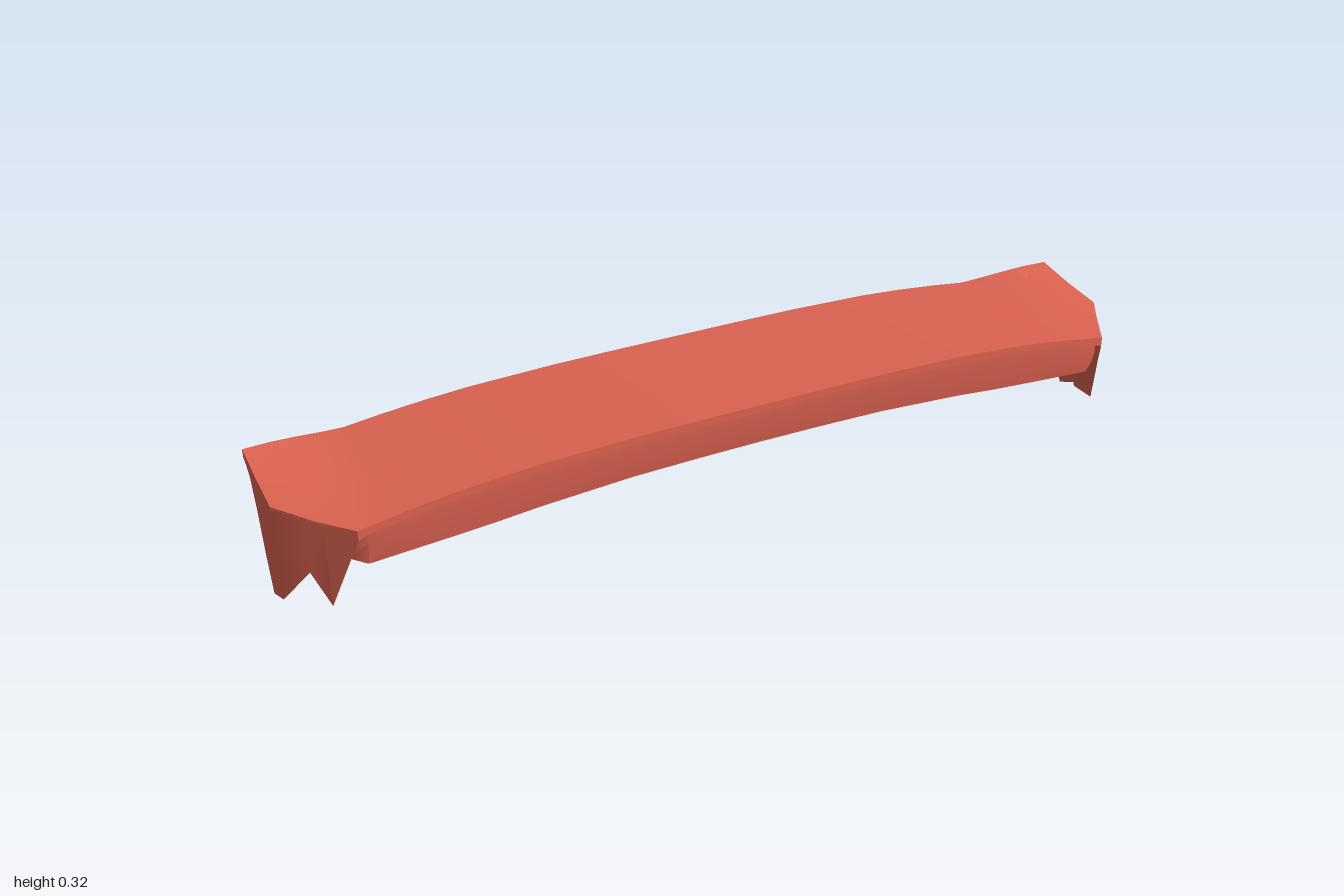
import * as THREE from 'three';
import { toCreasedNormals } from 'three/addons/utils/BufferGeometryUtils.js';

const material = new THREE.MeshStandardMaterial({ color: 0xdd6351, side: THREE.DoubleSide });

// Skin a list of closed rings of [x, y, z] points and cap both ends
function loft(name, rings) {
  const n = rings[0].length, index = [];
  for (let i = 0; i < rings.length - 1; i++) {
    for (let j = 0; j < n; j++) {
      const a = i * n + j, b = i * n + (j + 1) % n;
      index.push(a, b, a + n, b, b + n, a + n);
    }
  }
  const ends = [rings[0], rings[rings.length - 1]];
  ends.forEach((ring, e) => {
    const base = e * (rings.length - 1) * n;
    const flat = ring.map(p => new THREE.Vector2(p[2], p[1]));
    for (const [a, b, c] of THREE.ShapeUtils.triangulateShape(flat, [])) {
      if (e) index.push(base + a, base + b, base + c);
      else index.push(base + a, base + c, base + b);
    }
  });
  const geometry = new THREE.BufferGeometry();
  geometry.setAttribute('position', new THREE.Float32BufferAttribute(rings.flat(2), 3));
  geometry.setIndex(index);
  const mesh = new THREE.Mesh(toCreasedNormals(geometry, 0.6), material);
  mesh.name = name;
  return mesh;
}

// Extend stations given for x >= 0 to the mirrored side
const mirror = half => [...half.slice(1).reverse().map(([x, ...rest]) => [-x, ...rest]), ...half];

export function createModel() {
  const group = new THREE.Group();
  group.name = 'canopy';

  // Roof slab: x, front z, back z, front y, back y
  const roof = mirror([
    [0, 0.21, -0.21, 0.318, 0.291], [0.15, 0.21, -0.21, 0.318, 0.291],
    [0.3, 0.21, -0.21, 0.317, 0.29], [0.5, 0.21, -0.21, 0.311, 0.284],
    [0.6, 0.21, -0.21, 0.304, 0.277], [0.7, 0.21, -0.21, 0.295, 0.267],
    [0.78, 0.21, -0.21, 0.284, 0.257], [0.83, 0.21, -0.203, 0.275, 0.262],
    [0.88, 0.21, -0.19, 0.267, 0.272], [0.94, 0.12, -0.177, 0.257, 0.281],
    [1, 0.03, -0.17, 0.256, 0.283],
  ]);
  const t = 0.016;
  group.add(loft('roof', roof.map(([x, zf, zb, yf, yb]) => {
    const zm = (zf + zb) / 2, ym = (yf + yb) / 2 - (Math.abs(x) > 0.85 ? 0.003 : 0);
    return [[x, yf, zf], [x, ym, zm], [x, yb, zb],
      [x, yb - t, zb], [x, ym - t, zm], [x, yf - t, zf]];
  })));

  // Body under the roof, from the front fascia to the curved rear underside:
  // x, roof front y, roof back y, bottom y, front z
  const body = mirror([
    [0, 0.318, 0.291, 0.212, 0.203], [0.15, 0.318, 0.291, 0.211, 0.203],
    [0.3, 0.317, 0.29, 0.208, 0.203], [0.5, 0.311, 0.284, 0.196, 0.203],
    [0.6, 0.304, 0.277, 0.187, 0.203], [0.7, 0.295, 0.267, 0.18, 0.203],
    [0.78, 0.284, 0.257, 0.175, 0.203], [0.86, 0.269, 0.265, 0.17, 0.203],
    [0.89, 0.265, 0.273, 0.18, 0.185], [0.96, 0.256, 0.281, 0.21, 0.07],
  ]);
  group.add(loft('body', body.map(([x, yf, yb, low, zf]) => {
    const zb = -0.165, rear = yb - t + 0.002, drop = rear - low;
    // Underside points: fraction from the rear to the front, fraction of the drop
    const under = [[0.8, 0.92], [0.55, 0.77], [0.35, 0.63], [0.22, 0.48], [0.12, 0.27], [0.05, 0.08]];
    return [
      [x, yf - 0.012, zf], [x, yf - 0.04, zf - 0.001],
      [x, low + 0.006, zf - 0.013], [x, low, zf - 0.024],
      ...under.map(([f, d]) => [x, rear - drop * d, zb + (zf - zb) * f]),
      [x, rear, zb], [x, rear + 0.004, zb],
    ];
  })));

  // Toothed end panels: x, z, top y, bottom y, inset of bottom edge in x and z
  const columns = [
    [1, -0.17, 0.283, 0.265, 0.03, 0], [1, -0.15, 0.28, 0.255, 0.03, 0],
    [1, -0.13, 0.277, 0.238, 0.025, 0], [1, -0.105, 0.272, 0.17, 0.02, 0],
    [1, -0.085, 0.269, 0.08, 0.012, 0], [1, -0.057, 0.264, 0, 0.004, 0],
    [1, 0.032, 0.255, 0.04, 0.01, -0.01], [0.955, 0.098, 0.256, 0.13, 0.025, -0.03],
    [0.928, 0.14, 0.259, 0.068, 0, -0.064], [0.893, 0.19, 0.265, 0.197, 0.01, -0.03],
    [0.88, 0.21, 0.267, 0.245, 0.005, -0.015],
  ];
  for (const side of [1, -1]) {
    const panel = loft('endPanel', columns.map(([x, z, top, low, dx, dz]) => {
      const h = top - low;
      return [
        [x, top - 0.002, z], [x, low, z], [x - dx, low, z + dz],
        [x - dx - 0.012, low + h * 0.5, z + dz], [x - dx - 0.03, low + h * 0.8, z + dz],
        [x - dx - 0.06, top - Math.min(0.012, h * 0.1), z + dz],
      ];
    }));
    panel.name = side > 0 ? 'leftEndPanel' : 'rightEndPanel';
    panel.scale.x = side;
    group.add(panel);
  }
  return group;
}
